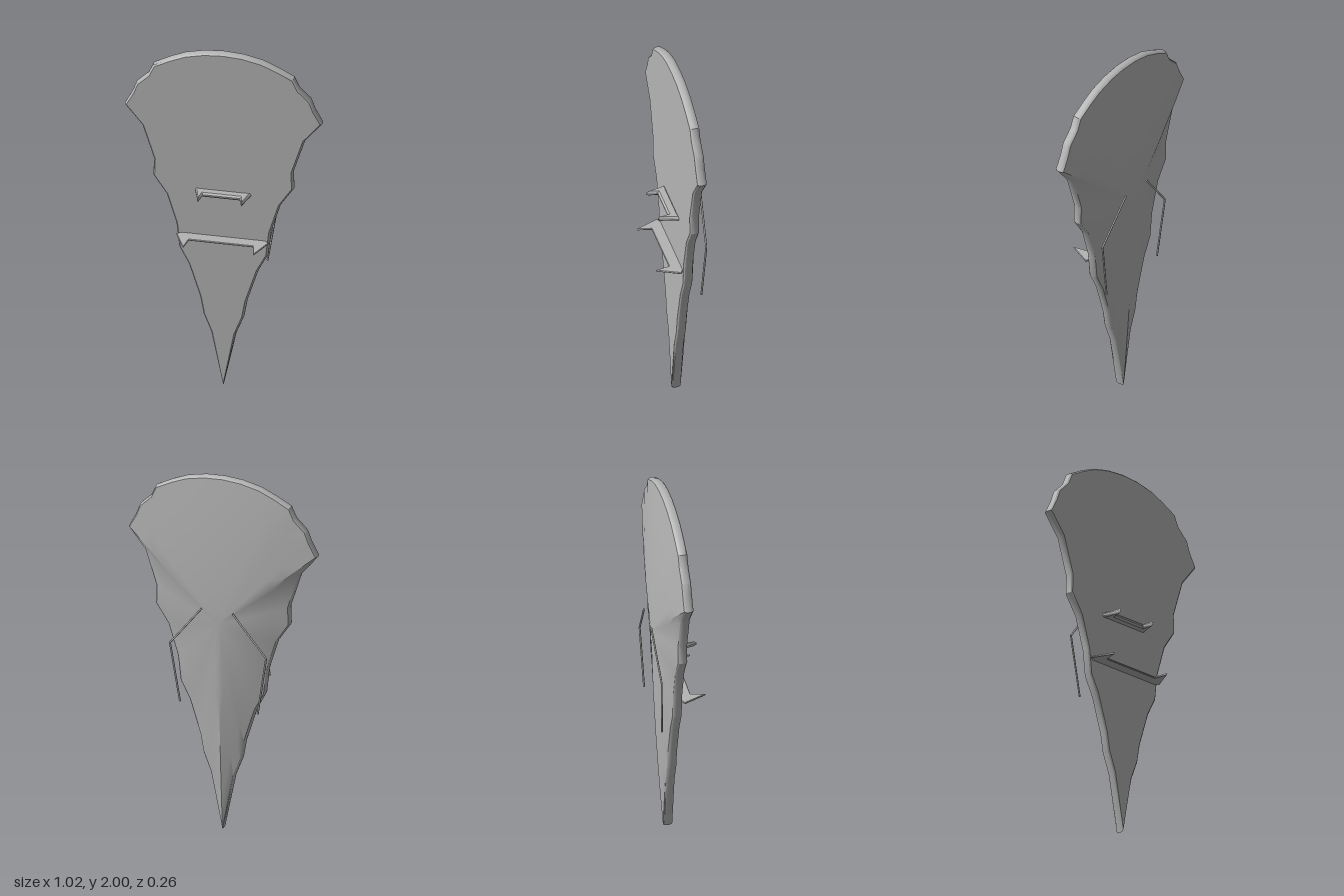
import * as THREE from 'three';
import { toCreasedNormals } from 'three/addons/utils/BufferGeometryUtils.js';

// Right half of the shield outline, bottom tip to top centre
const HALF = [
  [0, 0], [0.065, 0.315], [0.105, 0.42], [0.122, 0.52], [0.18, 0.71], [0.23, 0.81], [0.245, 0.95],
  [0.295, 1.12], [0.363, 1.225], [0.36, 1.325], [0.42, 1.52], [0.51, 1.635], [0.472, 1.71],
  [0.45, 1.77], [0.39, 1.83], [0.363, 1.89], [0.28, 1.935], [0.2, 1.97], [0.1, 1.993], [0, 2],
];
const CENTRE_Y = 1.2;

// Outline moved inwards by d, counter-clockwise from the front
function outline(d) {
  const pts = [...HALF, ...HALF.slice(1, -1).reverse().map(([x, y]) => [-x, y])];
  const n = pts.length;
  return pts.map(([x, y], i) => {
    const a = pts[(i + n - 1) % n], b = pts[(i + 1) % n];
    const dx = b[0] - a[0], dy = b[1] - a[1], l = Math.hypot(dx, dy);
    return [x - (dy / l) * d, y + (dx / l) * d];
  });
}

// Flat front, rounded rim and domed back as one run of rings
function shieldGeometry() {
  const rings = [];
  const ring = (inset, z, t = 1) =>
    rings.push(outline(inset).map(([x, y]) => [x * t, CENTRE_Y + (y - CENTRE_Y) * t, z]));
  ring(0.01, 0, 0);
  ring(0.01, 0);
  ring(0.003, -0.007);
  ring(0, -0.018);
  ring(0, -0.03);
  ring(0.003, -0.042);
  ring(0.008, -0.048);
  for (const t of [0.85, 0.7, 0.55, 0.4, 0.25, 0.12, 0]) {
    ring(0.008, -0.048 - 0.06 * (1 - t ** 1.6), t);
  }
  const n = rings[0].length, index = [], last = rings.length - 2;
  for (let k = 0; k <= last; k++) {
    for (let i = 0; i < n; i++) {
      const j = (i + 1) % n;
      const a = k * n + i, b = k * n + j, c = b + n, d = a + n;
      if (k > 0) index.push(a, d, b);
      if (k < last) index.push(b, d, c);
    }
  }
  const geo = new THREE.BufferGeometry();
  geo.setAttribute('position', new THREE.Float32BufferAttribute(rings.flat(2), 3));
  geo.setIndex(index);
  return toCreasedNormals(geo, 0.5);
}

// Flat U-shaped grip: half outline in x and z, mirrored, extruded upwards
function gripGeometry(half, height, bevel) {
  const pts = [...half, ...half.map(([x, z]) => [-x, z]).reverse()];
  const shape = new THREE.Shape(pts.map(([x, z]) => new THREE.Vector2(x, z)));
  const geo = new THREE.ExtrudeGeometry(shape, {
    depth: height - 2 * bevel,
    bevelEnabled: true, bevelThickness: bevel, bevelSize: bevel, bevelOffset: -bevel, bevelSegments: 1,
  });
  geo.translate(0, 0, bevel - height / 2);
  geo.rotateX(Math.PI / 2);
  return geo;
}

export function createModel() {
  const model = new THREE.Group();
  model.name = 'shield';
  const grey = new THREE.MeshStandardMaterial({ color: 0xb4b4b4 });
  grey.name = 'grey metal';

  const add = (name, geo, parent = model) => {
    const mesh = new THREE.Mesh(geo, grey);
    mesh.name = name;
    parent.add(mesh);
    return mesh;
  };

  add('shieldBody', shieldGeometry());

  // Hand grip and wider arm brace on the flat side
  const handGrip = add('handGrip', gripGeometry(
    [[0.1, -0.005], [0.145, -0.005], [0.112, 0.102], [-0.001, 0.102], [-0.001, 0.045], [0.096, 0.045]]
      .filter(([x]) => x > 0), 0.026, 0.009));
  handGrip.position.y = 1.166;
  const armBrace = add('armBrace', gripGeometry(
    [[0.172, -0.005], [0.208, -0.005], [0.24, 0.012], [0.182, 0.132], [0.165, 0.058]]
      .filter(([x]) => x > 0), 0.01, 0.003));
  armBrace.position.y = 0.895;

  // Bent rods on the domed side
  for (const side of [1, -1]) {
    const rod = new THREE.Group();
    rod.name = side > 0 ? 'leftRod' : 'rightRod';
    const path = [[0.085, 1.28, -0.128], [0.26, 1.05, -0.112], [0.21, 0.72, -0.1]]
      .map(([x, y, z]) => new THREE.Vector3(x * side, y, z));
    for (let i = 0; i < 2; i++) {
      const line = new THREE.LineCurve3(path[i], path[i + 1]);
      const piece = add(i ? 'rodLower' : 'rodUpper',
        new THREE.CylinderGeometry(0.005, 0.005, line.getLength(), 8), rod);
      piece.position.copy(line.getPoint(0.5));
      piece.quaternion.setFromUnitVectors(new THREE.Vector3(0, 1, 0), line.getTangent(0));
    }
    model.add(rod);
  }

  // Centre the depth on z = 0 is kept to the flat face plane
  return model;
}
